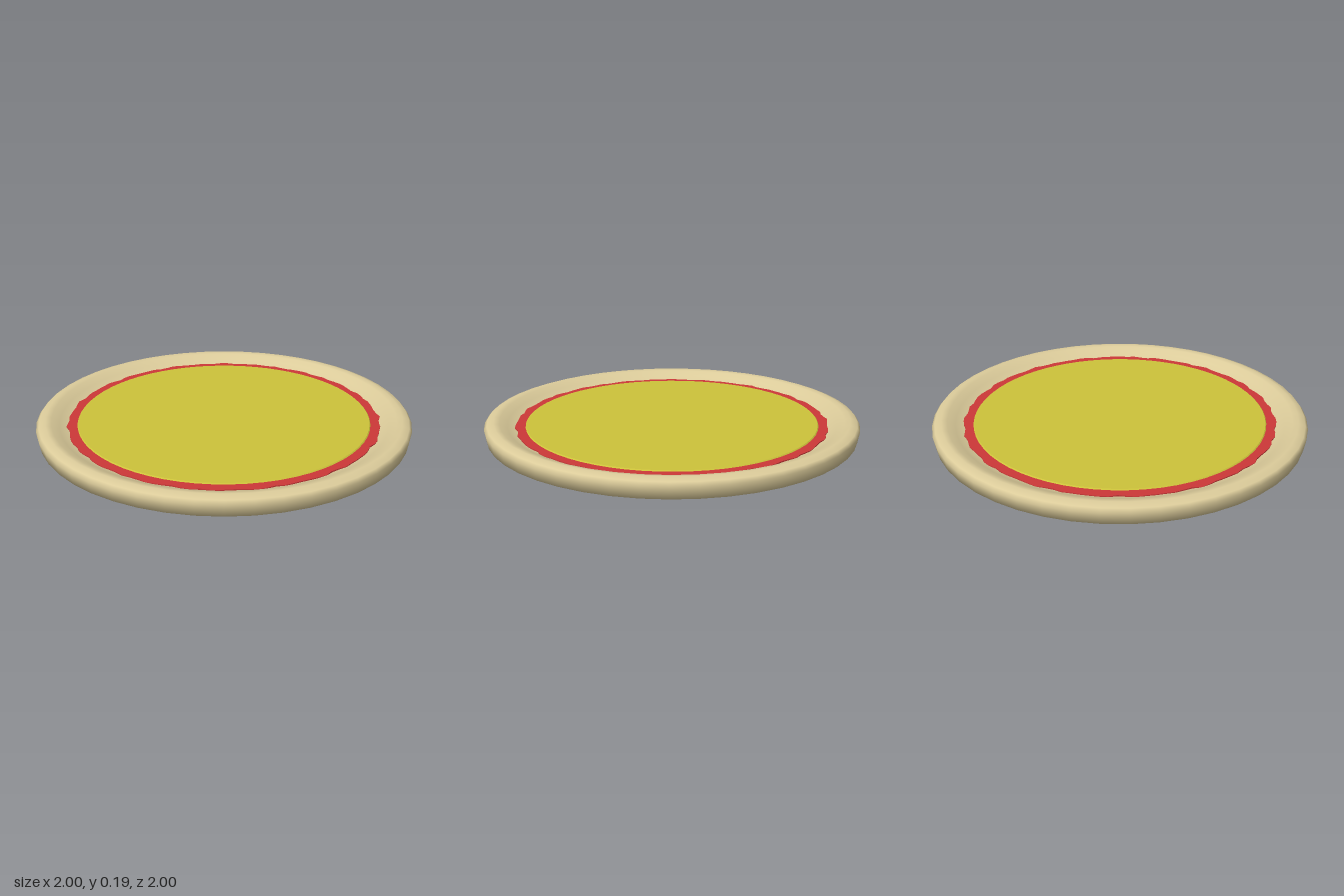
import * as THREE from 'three';

const SEGMENTS = 48;

function lathe(name, profile, material) {
  const points = profile.map(([r, y]) => new THREE.Vector2(r, y));
  const mesh = new THREE.Mesh(new THREE.LatheGeometry(points, SEGMENTS), material);
  mesh.name = name;
  return mesh;
}

function flatMaterial(name, color) {
  const material = new THREE.MeshStandardMaterial({ color });
  material.name = name;
  return material;
}

export function createModel() {
  const group = new THREE.Group();
  group.name = 'pizza';
  const dough = flatMaterial('baked dough', 0xdbcb9a);
  const red = flatMaterial('tomato red', 0xcc3838);
  const yellow = flatMaterial('cheese yellow', 0xccc23a);

  // Crust: shallow cone base, rounded rim, inner slope and hidden floor
  group.add(lathe('crust', [
    [0, 0.005], [0.4, 0.022], [0.8, 0.04], [0.86, 0.05], [0.99, 0.1], [1, 0.16],
    [0.985, 0.178], [0.95, 0.19], [0.92, 0.184], [0.88, 0.162], [0.84, 0.142],
    [0.8, 0.132], [0.76, 0.128], [0, 0.128],
  ], dough));

  // Sauce: thin disc with an uneven outer edge
  const steps = 120;
  const edge = [];
  for (let i = 0; i < steps; i++) {
    const a = (i / steps) * Math.PI * 2;
    const r = 0.836 + 0.005 * Math.sin(a * 32) + 0.003 * Math.sin(a * 19 + 1) + 0.003 * Math.sin(a * 47 + 2);
    edge.push(new THREE.Vector2(r * Math.cos(a), r * Math.sin(a)));
  }
  const sauceShape = new THREE.ExtrudeGeometry(new THREE.Shape(edge), { depth: 0.008, bevelEnabled: false });
  sauceShape.rotateX(-Math.PI / 2);
  const sauce = new THREE.Mesh(sauceShape, red);
  sauce.name = 'sauce';
  sauce.position.y = 0.138;
  group.add(sauce);

  // Cheese: smooth flat layer covering all but the edge of the sauce
  const cheese = new THREE.Mesh(new THREE.CylinderGeometry(0.782, 0.79, 0.008, 64), yellow);
  cheese.name = 'cheese';
  cheese.position.y = 0.147;
  group.add(cheese);

  return group;
}
